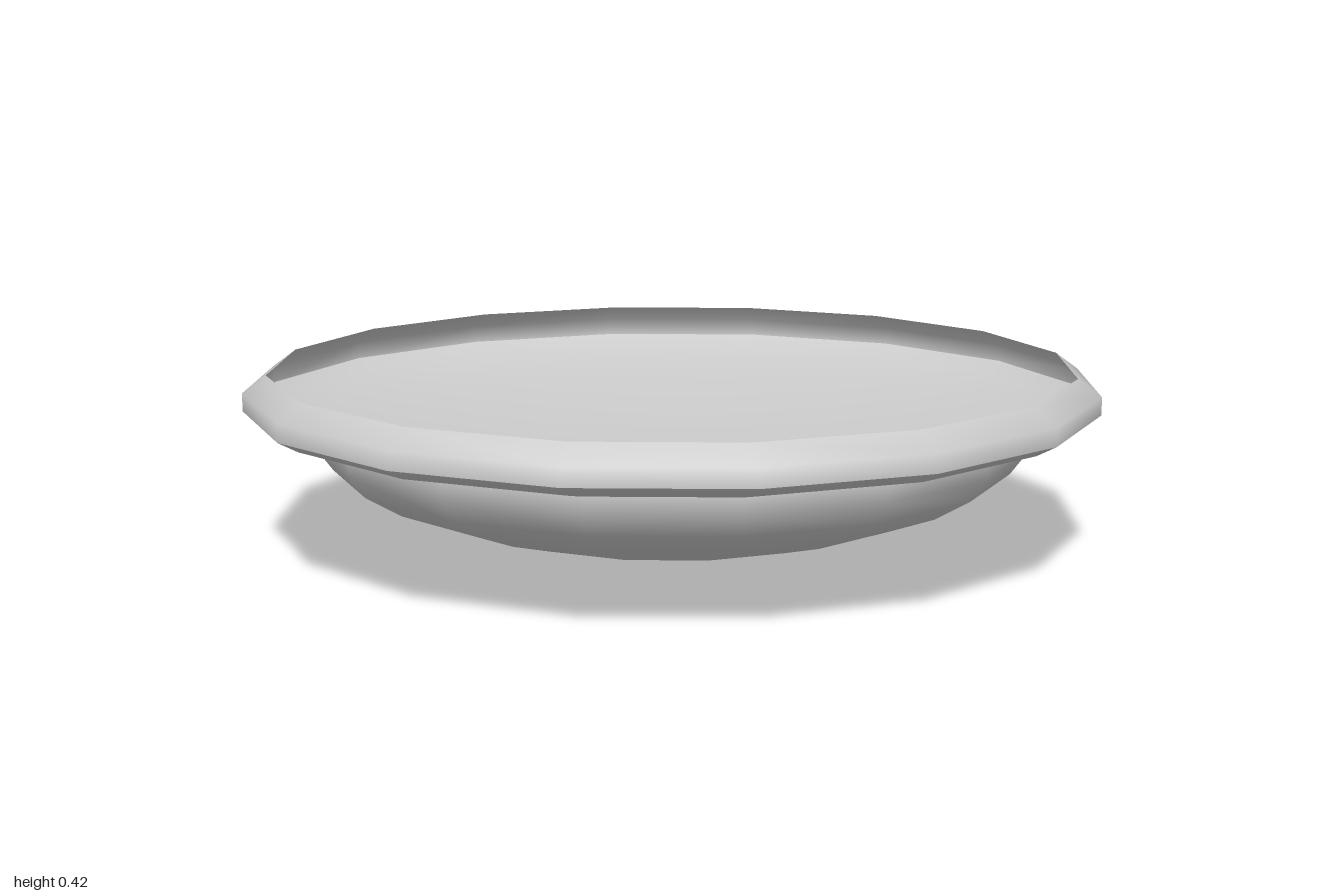
import * as THREE from 'three';

const SIDES = 16;
const material = new THREE.MeshStandardMaterial({ color: 0xcccccc, side: THREE.DoubleSide });

// Dome section shared by both bowls: [share of radius, share of depth], centre to edge.
const DOME = [
  [0, 1], [0.2, 0.97], [0.38, 0.89], [0.56, 0.755],
  [0.717, 0.6], [0.848, 0.43], [0.953, 0.216], [1, 0],
];
const dome = (radius, edgeY, depth) => DOME.map(([r, d]) => [r * radius, edgeY - d * depth]);

// Revolves a smooth strip of [radius, height] points; separate strips keep their shared edge sharp.
function turned(name, profile) {
  const points = profile.map(([r, y]) => new THREE.Vector2(r, y));
  const mesh = new THREE.Mesh(new THREE.LatheGeometry(points, SIDES), material);
  mesh.name = name;
  return mesh;
}

export function createModel() {
  const group = new THREE.Group();
  group.name = 'shallowDish';

  // Deeper bowl below, its short upright neck meeting the dish
  group.add(turned('lowerBowl', [...dome(0.837, 0.245, 0.245), [0.837, 0.285]]));

  // Wide, shallow dish with an upright edge and inward bevel, open at the top
  const dish = new THREE.Group();
  dish.name = 'upperDish';
  dish.add(turned('dishBase', dome(1, 0.338, 0.118)));
  dish.add(turned('dishRim', [[1, 0.338], [1, 0.38], [0.945, 0.42]]));
  group.add(dish);

  return group;
}
